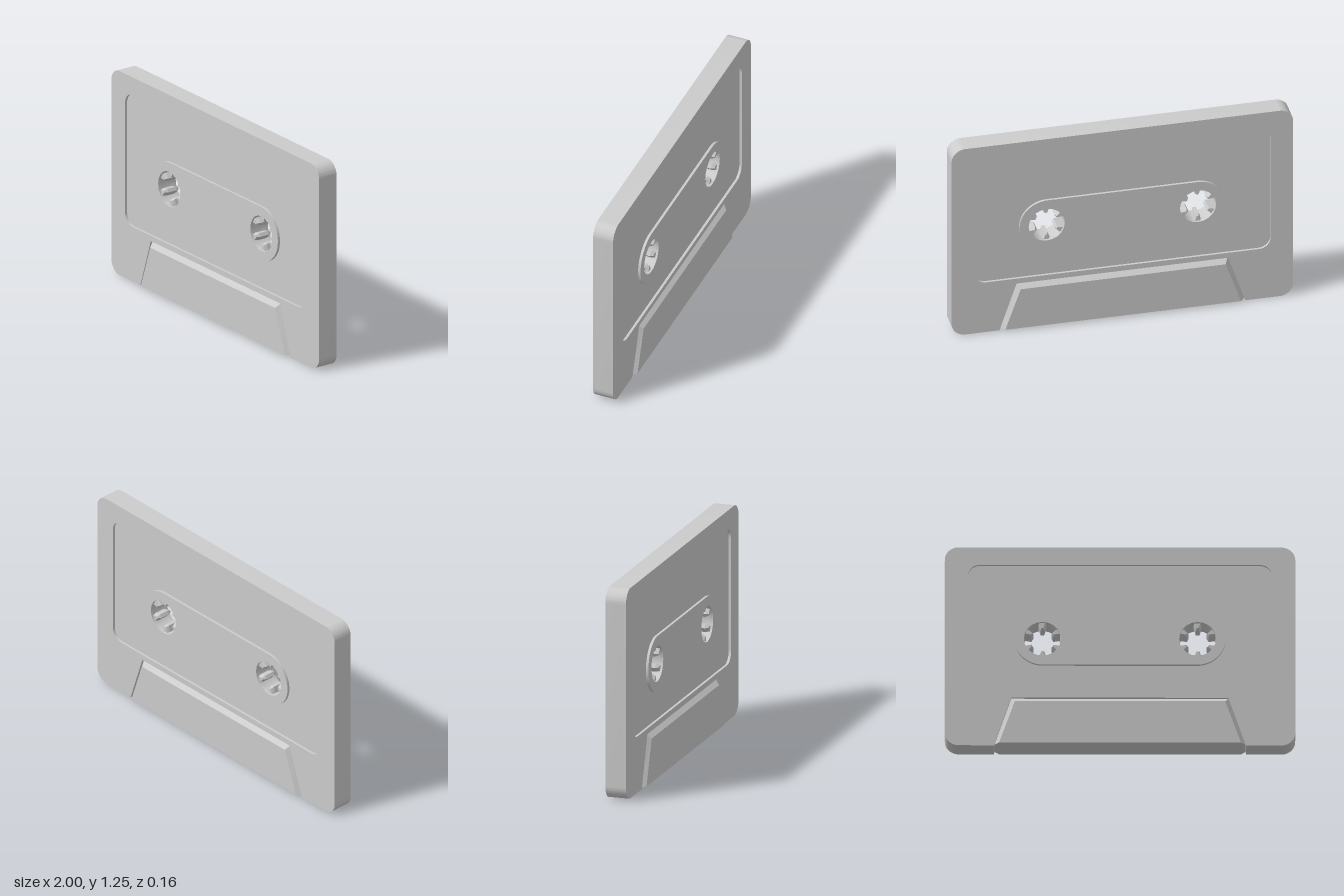
import * as THREE from 'three';
import { toCreasedNormals } from 'three/addons/utils/BufferGeometryUtils.js';

const FLOOR = 0.047, FACE = 0.062, RAISED = 0.081;
const HUB_X = 0.443, HUB_Y = 0.671, HUB_R = 0.106;

export function createModel() {
  const model = new THREE.Group();
  model.name = 'cassette';
  const material = new THREE.MeshStandardMaterial({ color: 0xcccccc });

  const add = (parent, name, geometry) => {
    const mesh = new THREE.Mesh(geometry, material);
    mesh.name = name;
    parent.add(mesh);
    return mesh;
  };

  // Extrudes a shape between two z levels
  const slab = (shape, z0, z1) => {
    const g = new THREE.ExtrudeGeometry(shape, { depth: z1 - z0, bevelEnabled: false, curveSegments: 10 });
    return toCreasedNormals(g.translate(0, 0, z0), 0.5);
  };

  // Rounded rectangle; extra points may cut into its bottom edge, left to right
  const roundedRect = (path, hw, y0, y1, r, bottom = []) => {
    path.moveTo(-hw + r, y0);
    bottom.forEach(([x, y]) => path.lineTo(x, y));
    path.lineTo(hw - r, y0);
    path.absarc(hw - r, y0 + r, r, -Math.PI / 2, 0);
    path.absarc(hw - r, y1 - r, r, 0, Math.PI / 2);
    path.absarc(-hw + r, y1 - r, r, Math.PI / 2, Math.PI);
    path.absarc(-hw + r, y0 + r, r, Math.PI, Math.PI * 1.5);
    return path;
  };

  const hubHoles = (shape) => {
    for (const s of [-1, 1]) {
      shape.holes.push(new THREE.Path().absarc(s * HUB_X, HUB_Y, HUB_R, 0, Math.PI * 2, true));
    }
    return shape;
  };

  // Core of the shell, slightly raised along the bottom between the head guides
  const core = roundedRect(new THREE.Shape(), 1, 0, 1.246, 0.08,
    [[-0.72, 0], [-0.717, 0.01], [0.717, 0.01], [0.72, 0]]);
  add(model, 'core', slab(hubHoles(core), -FLOOR, FLOOR));

  // Face plate with label window and a cutout for the head section
  const plate = roundedRect(new THREE.Shape(), 1, 0, 1.246, 0.08,
    [[-0.72, 0], [-0.62, 0.3], [0.62, 0.3], [0.72, 0]]);
  plate.holes.push(roundedRect(new THREE.Path(), 0.868, 0.333, 1.136, 0.07));
  const plateGeometry = slab(plate, FLOOR, FACE);

  // Raised pill around both hubs
  const pill = hubHoles(roundedRect(new THREE.Shape(), 0.602, HUB_Y - 0.163, HUB_Y + 0.163, 0.163));
  const pillGeometry = slab(pill, FLOOR, FACE);

  // Sloped trapezoid head section, from a box with its corners moved
  let head = new THREE.BoxGeometry(1, 1, 1);
  const p = head.attributes.position;
  for (let i = 0; i < p.count; i++) {
    const top = p.getY(i) > 0, front = p.getZ(i) > 0;
    const x = front ? (top ? 0.6 : 0.69) : (top ? 0.62 : 0.717);
    p.setXYZ(i, Math.sign(p.getX(i)) * x, top ? (front ? 0.27 : 0.3) : 0.01, front ? RAISED : FLOOR);
  }
  head = head.toNonIndexed();
  head.computeVertexNormals();

  // Both faces are identical
  for (const [name, angle] of [['front', 0], ['back', Math.PI]]) {
    const side = new THREE.Group();
    side.name = name + 'Side';
    side.rotation.y = angle;
    add(side, 'facePlate', plateGeometry);
    add(side, 'hubPanel', pillGeometry);
    add(side, 'headSection', head);
    model.add(side);
  }

  // Drive teeth: six tapered splines pointing into each hub
  const tooth = new THREE.Shape([[-0.025, 0.11], [-0.011, 0.065], [0.011, 0.065], [0.025, 0.11]]
    .map(([x, y]) => new THREE.Vector2(x, y)));
  const toothGeometry = new THREE.ExtrudeGeometry(tooth, {
    depth: 0.06, bevelEnabled: true, bevelThickness: 0.02, bevelSize: 0.008, bevelOffset: -0.008, bevelSegments: 1,
  }).translate(0, 0, -0.03);
  for (const s of [-1, 1]) {
    const hub = new THREE.Group();
    hub.name = s > 0 ? 'leftHub' : 'rightHub';
    hub.position.set(s * HUB_X, HUB_Y, 0);
    for (let i = 0; i < 6; i++) add(hub, 'hubTooth', toothGeometry).rotation.z = i * Math.PI / 3;
    model.add(hub);
  }
  return model;
}
